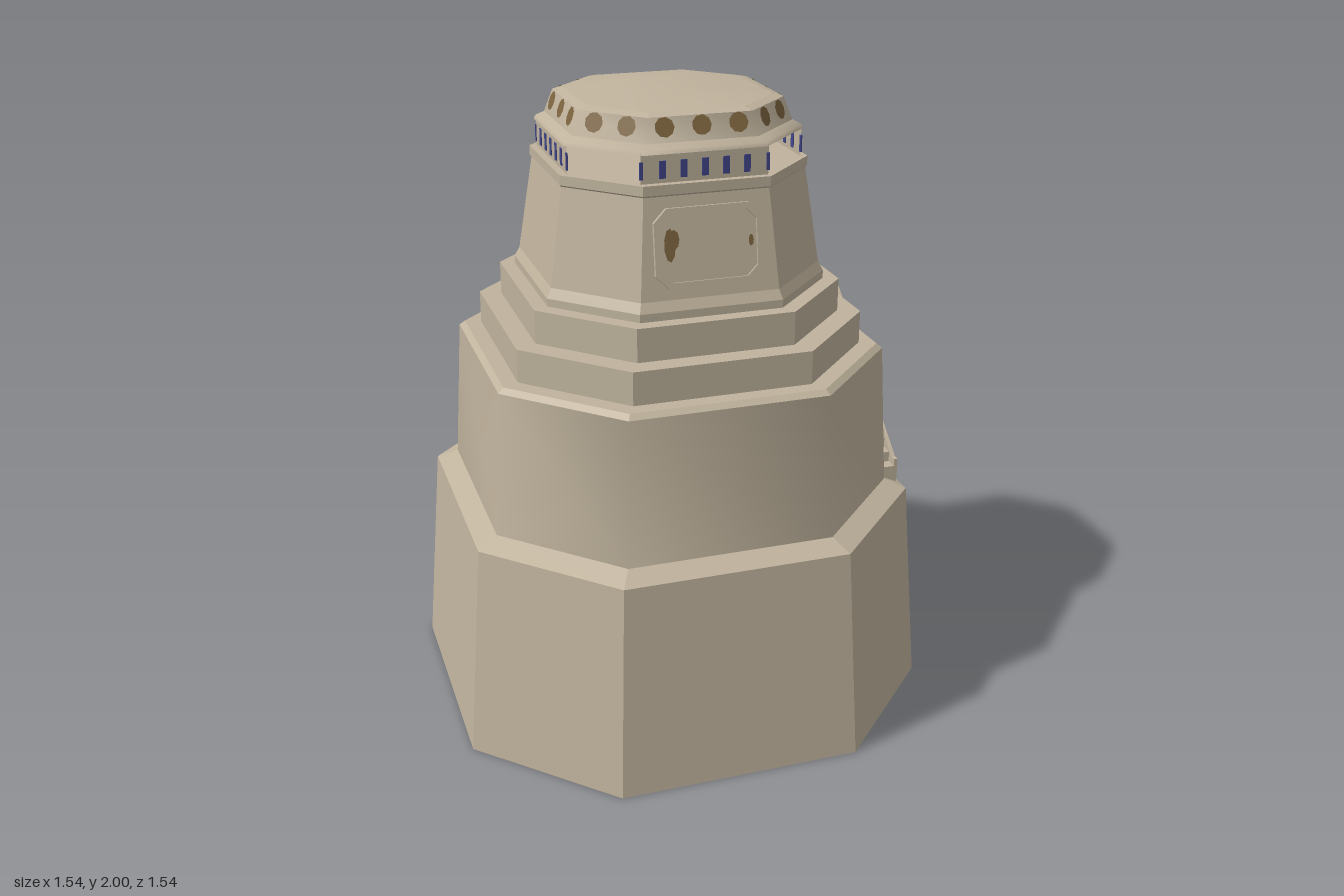
import * as THREE from 'three';

const mat = (name, color) => {
  const m = new THREE.MeshStandardMaterial({ color, side: THREE.DoubleSide });
  m.name = name;
  return m;
};

// Octagon with long diagonal sides: corner k at half-width a
const CORNERS = [[1, 0.5], [0.5, 1], [-0.5, 1], [-1, 0.5], [-1, -0.5], [-0.5, -1], [0.5, -1], [1, -0.5]];
const BACK = 5;

// Octagonal shell through [y, halfWidth] rings, listed from bottom to top
function shell(profile, smooth = false, skip = -1) {
  const pos = [], idx = [];
  for (const [y, a] of profile) for (const [x, z] of CORNERS) pos.push(x * a, y, z * a);
  for (let r = 0; r < profile.length - 1; r++) {
    for (let k = 0; k < 8; k++) {
      if (k === skip) continue;
      const b = r * 8 + k, b1 = r * 8 + (k + 1) % 8;
      idx.push(b, b + 8, b1 + 8, b, b1 + 8, b1);
    }
  }
  let g = new THREE.BufferGeometry();
  g.setAttribute('position', new THREE.Float32BufferAttribute(pos, 3));
  g.setIndex(idx);
  if (!smooth) g = g.toNonIndexed();
  g.computeVertexNormals();
  return g;
}

// Loose four-cornered faces
function quads(list) {
  const pos = [];
  for (const [a, b, c, d] of list) pos.push(...a, ...b, ...c, ...a, ...c, ...d);
  const g = new THREE.BufferGeometry();
  g.setAttribute('position', new THREE.Float32BufferAttribute(pos, 3));
  g.computeVertexNormals();
  return g;
}

// Rectangle with cut corners
function chamfered(w, h, c, Type = THREE.Shape) {
  const x = w / 2, y = h / 2;
  return new Type([[-x + c, -y], [x - c, -y], [x, -y + c], [x, y - c], [x - c, y], [-x + c, y], [-x, y - c], [-x, -y + c]]
    .map(p => new THREE.Vector2(...p)));
}

export function createModel() {
  const model = new THREE.Group();
  const stone = mat('stone', 0xc0b39d);
  const rust = mat('rustBrown', 0x7c643f);
  const blue = mat('blueMark', 0x41468a);
  const add = (name, geo, material = stone, parent = model) => {
    const m = new THREE.Mesh(geo, material);
    m.name = name;
    parent.add(m);
    return m;
  };

  // Stacked tiers, open underneath
  add('baseTier', shell([[0, 0.77], [0.69, 0.715]]));
  add('baseLedge', shell([[0.69, 0.715], [0.72, 0.65]]));
  add('middleTier', shell([[0.72, 0.65], [1.18, 0.622]], true));
  add('middleLedge', shell([[1.18, 0.622], [1.195, 0.605], [1.195, 0.555]]));
  add('lowerTerrace', shell([[1.195, 0.555], [1.3, 0.555], [1.3, 0.49]]));
  add('upperTerrace', shell([[1.3, 0.49], [1.405, 0.49], [1.405, 0.44]]));

  // Upper drum, with a doorway left out of the back wall
  const drum = [[1.405, 0.445], [1.43, 0.445], [1.46, 0.43], [1.64, 0.403], [1.76, 0.385]];
  add('drumWall', shell(drum, false, BACK));
  add('drumRim', shell([[1.76, 0.385], [1.765, 0.39], [1.795, 0.39], [1.795, 0]]));

  const door = 0.07, deep = -0.37, wall = [];
  for (let i = 0; i < 4; i++) {
    const [y0, a0] = drum[i], [y1, a1] = drum[i + 1];
    if (i === 3) {
      wall.push([[a0 / 2, y0, -a0], [-a0 / 2, y0, -a0], [-a1 / 2, y1, -a1], [a1 / 2, y1, -a1]]);
      continue;
    }
    wall.push([[a0 / 2, y0, -a0], [door, y0, -a0], [door, y1, -a1], [a1 / 2, y1, -a1]]);
    wall.push([[-door, y0, -a0], [-a0 / 2, y0, -a0], [-a1 / 2, y1, -a1], [-door, y1, -a1]]);
    // Door jambs
    wall.push([[door, y0, -a0], [door, y0, deep], [door, y1, deep], [door, y1, -a1]]);
    wall.push([[-door, y0, deep], [-door, y0, -a0], [-door, y1, -a1], [-door, y1, deep]]);
  }
  add('drumBackWall', quads(wall));
  add('doorRecess', quads([
    [[door, 1.405, deep], [-door, 1.405, deep], [-door, 1.64, deep], [door, 1.64, deep]],
    [[door, 1.64, deep], [-door, 1.64, deep], [-door, 1.64, -0.403], [door, 1.64, -0.403]],
    [[door, 1.405, -0.445], [-door, 1.405, -0.445], [-door, 1.405, deep], [door, 1.405, deep]],
  ]));

  // Front window: raised frame, shutter and rust stains
  const win = new THREE.Group();
  win.name = 'frontWindow';
  win.position.set(-0.002, 1.61, 0.407);
  win.rotation.x = -Math.atan(0.15);
  model.add(win);
  const frame = chamfered(0.335, 0.235, 0.04);
  frame.holes.push(chamfered(0.295, 0.2, 0.032, THREE.Path));
  add('windowFrame', new THREE.ExtrudeGeometry(frame, { depth: 0.014, bevelEnabled: false }), stone, win);
  add('windowShutter', new THREE.ExtrudeGeometry(chamfered(0.295, 0.2, 0.032), { depth: 0.007, bevelEnabled: false }), stone, win);
  for (const [x, y, w, h] of [[-0.12, 0.01, 0.035, 0.1], [-0.108, 0.025, 0.035, 0.06], [0.13, 0.005, 0.016, 0.035]]) {
    const stain = add('rustStain', new THREE.CircleGeometry(0.5, 9), rust, win);
    stain.scale.set(w, h, 1);
    stain.position.set(x, y, 0.009);
  }

  // Lookout screens on the four main sides, open at the diagonals
  for (let i = 0; i < 4; i++) {
    const side = new THREE.Group();
    side.name = 'lookoutScreen';
    side.rotation.y = i * Math.PI / 2;
    model.add(side);
    add('screenPanel', new THREE.PlaneGeometry(0.39, 0.09), stone, side).position.set(0, 1.84, 0.367);
    for (let j = -3; j <= 3; j++) {
      const end = Math.abs(j) === 3;
      add('screenMark', new THREE.BoxGeometry(end ? 0.01 : 0.02, 0.052, 0.005), blue, side)
        .position.set(j * 0.0645, 1.834, 0.367);
    }
  }

  // Roof with flared brim and shallow domed cap
  add('roofUnderside', shell([[1.88, 0], [1.88, 0.375]].reverse()));
  add('roofBrim', shell([[1.88, 0.375], [1.892, 0.37], [1.905, 0.345]], true));
  add('roofBand', shell([[1.905, 0.345], [1.975, 0.32]], true));
  add('roofEdge', shell([[1.975, 0.32], [1.983, 0.29]]));
  add('roofCap', shell([[1.983, 0.29], [2, 0.14], [2, 0]], true));

  // Rust dots around the roof band
  const y = 1.947, a = 0.331;
  for (let k = 0; k < 8; k++) {
    const [x0, z0] = CORNERS[k], [x1, z1] = CORNERS[(k + 1) % 8];
    const n = new THREE.Vector3(x0 + x1, 0, z0 + z1).normalize();
    n.y = 0.36;
    n.normalize();
    for (const t of k % 2 ? [0.16, 0.5, 0.84] : [0.27, 0.73]) {
      const dot = add('roofDot', new THREE.CircleGeometry(0.03, 9), rust);
      dot.position.set((x0 + (x1 - x0) * t) * a, y, (z0 + (z1 - z0) * t) * a).addScaledVector(n, 0.003);
      dot.lookAt(dot.position.clone().add(n));
    }
  }

  // Outside staircase on the left side: stepped block and a sloping outer wall
  const sideways = (pts, x, depth) => {
    const g = new THREE.ExtrudeGeometry(new THREE.Shape(pts.map(p => new THREE.Vector2(...p))), { depth, bevelEnabled: false });
    return g.rotateY(Math.PI / 2).translate(x, 0, 0);
  };
  const slope = u => 0.78 + (u + 0.295) * 0.842;
  const steps = 13, run = 0.525 / steps, pts = [[0.285, 0.69], [0.285, 1.195]];
  for (let i = steps; i >= 0; i--) {
    const u = -0.315 + i * run, top = slope(u) - 0.008;
    pts.push([u, i === steps ? 1.195 : top]);
    pts.push([u, i ? slope(u - run) - 0.008 : 0.69]);
  }
  const stairGeo = sideways(pts, 0.62, 0.068);
  // Lean the inner side along the tier wall
  const p = stairGeo.attributes.position;
  for (let i = 0; i < p.count; i++) {
    if (p.getX(i) < 0.65) p.setX(i, 0.647 - 0.061 * (p.getY(i) - 0.72));
  }
  stairGeo.computeVertexNormals();
  add('stairSteps', stairGeo);
  add('stairOuterWall', sideways(
    [[-0.315, 0.69], [0.285, 0.69], [0.285, 1.207], [0.21, 1.207], [-0.295, 0.78], [-0.315, 0.78]], 0.688, 0.012));

  return model;
}
